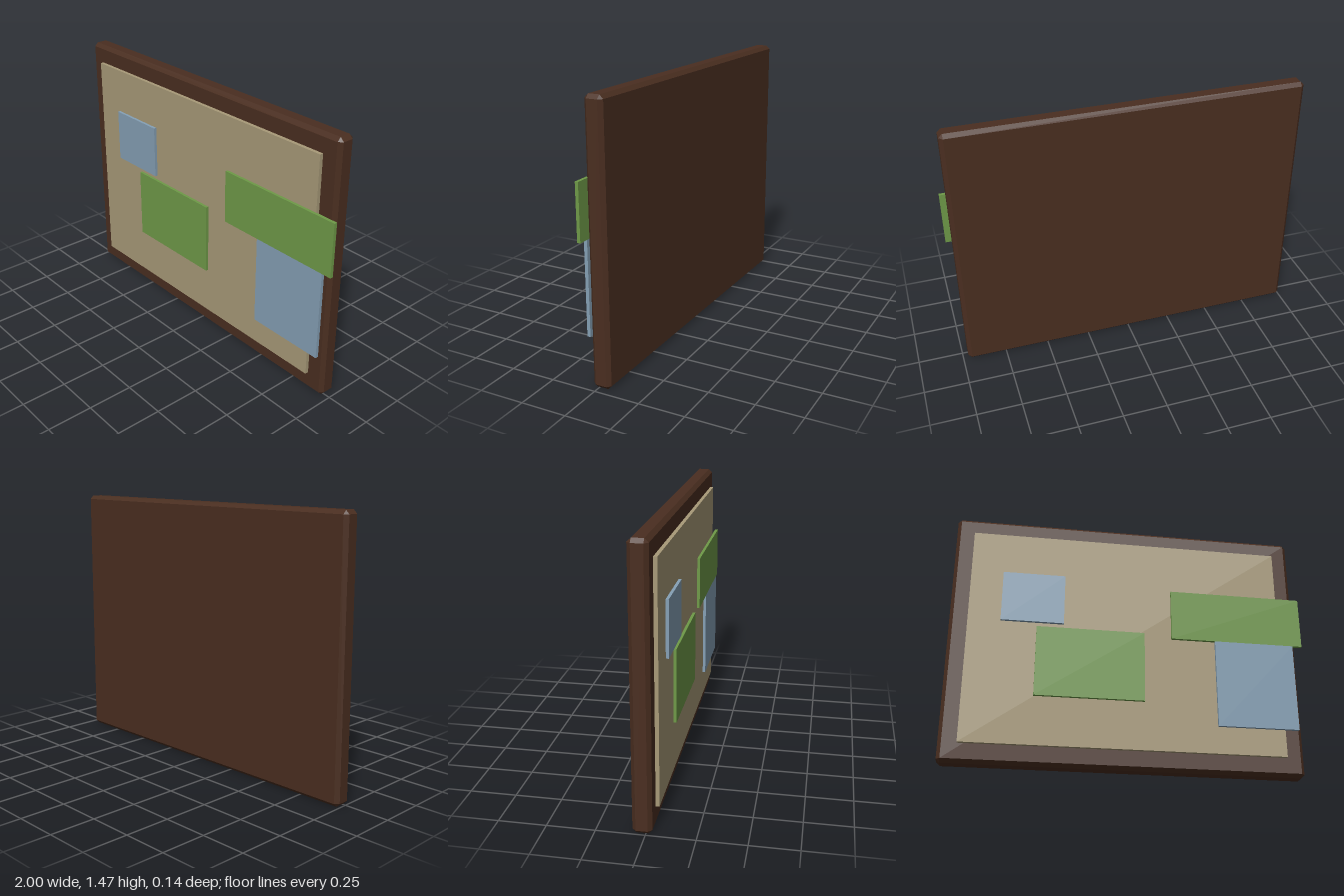
import * as THREE from 'three';
import { ConvexGeometry } from 'three/addons/geometries/ConvexGeometry.js';

// Box centred on the origin with a single flat chamfer on every edge and corner
function chamferedBox(w, h, d, c) {
  const points = [];
  for (const sx of [-1, 1]) for (const sy of [-1, 1]) for (const sz of [-1, 1]) {
    for (let axis = 0; axis < 3; axis++) {
      const inset = [c, c, c];
      inset[axis] = 0;
      points.push(new THREE.Vector3(
        sx * (w / 2 - inset[0]), sy * (h / 2 - inset[1]), sz * (d / 2 - inset[2])));
    }
  }
  return new ConvexGeometry(points);
}

export function createModel() {
  const group = new THREE.Group();
  const paint = (color) => new THREE.MeshStandardMaterial({ color });
  const wood = paint(0x4a2e20);
  const cork = paint(0xa89a78);
  const blue = paint(0x85a0b5);
  const green = paint(0x6f9a48);

  // Flat slab given by its limits on each axis
  const slab = (name, material, [x0, x1], [y0, y1], [z0, z1]) => {
    const mesh = new THREE.Mesh(new THREE.BoxGeometry(x1 - x0, y1 - y0, z1 - z0), material);
    mesh.position.set((x0 + x1) / 2, (y0 + y1) / 2, (z0 + z1) / 2);
    mesh.name = name;
    group.add(mesh);
  };

  // Wooden backboard, whose rim frames the panel
  const board = new THREE.Mesh(chamferedBox(1.97, 1.47, 0.1, 0.02), wood);
  board.position.set(-0.015, 0.735, -0.018);
  board.name = 'backboard';
  group.add(board);

  // Raised pin panel
  slab('pinPanel', cork, [-0.9, 0.87], [0.105, 1.368], [0.02, 0.052]);

  // Paper notes, the right-hand pair reaching over the rim
  const noteDepth = [0.05, 0.068];
  slab('smallBlueNote', blue, [-0.72, -0.37], [0.815, 1.115], noteDepth);
  slab('middleGreenNote', green, [-0.52, 0.085], [0.38, 0.788], noteDepth);
  slab('wideGreenNote', green, [0.24, 1.0], [0.765, 1.065], noteDepth);
  slab('tallBlueNote', blue, [0.49, 0.945], [0.258, 0.765], noteDepth);

  return group;
}
